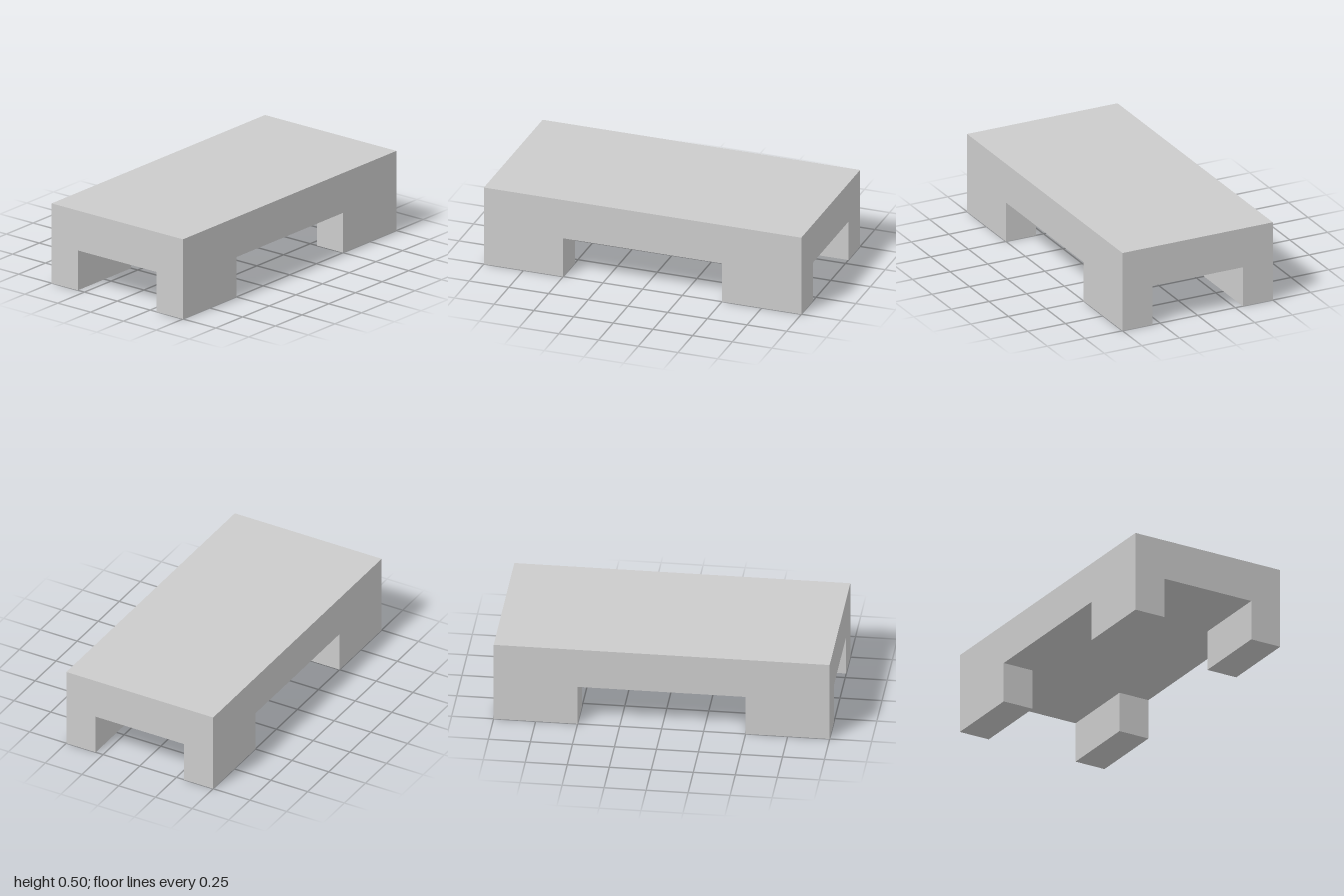
import * as THREE from 'three';

const WIDTH = 1, LENGTH = 2, HALF = 0.25; // slab and legs are equally tall
const LEG_W = 0.2, LEG_L = 0.5;

export function createModel() {
  const group = new THREE.Group();
  group.name = 'lowTable';
  const material = new THREE.MeshStandardMaterial({ color: 0xcccccc, flatShading: true });

  const addBox = (name, w, h, l, x, y, z) => {
    const mesh = new THREE.Mesh(new THREE.BoxGeometry(w, h, l), material);
    mesh.name = name;
    mesh.position.set(x, y, z);
    group.add(mesh);
  };

  // Thick top slab
  addBox('top', WIDTH, HALF, LENGTH, 0, HALF * 1.5, 0);

  // Four corner legs, flush with the slab's outer sides
  for (const [side, sx] of [['Left', 1], ['Right', -1]]) {
    for (const [end, sz] of [['front', 1], ['back', -1]]) {
      addBox(`${end}${side}Leg`, LEG_W, HALF, LEG_L,
        sx * (WIDTH - LEG_W) / 2, HALF / 2, sz * (LENGTH - LEG_L) / 2);
    }
  }
  return group;
}
